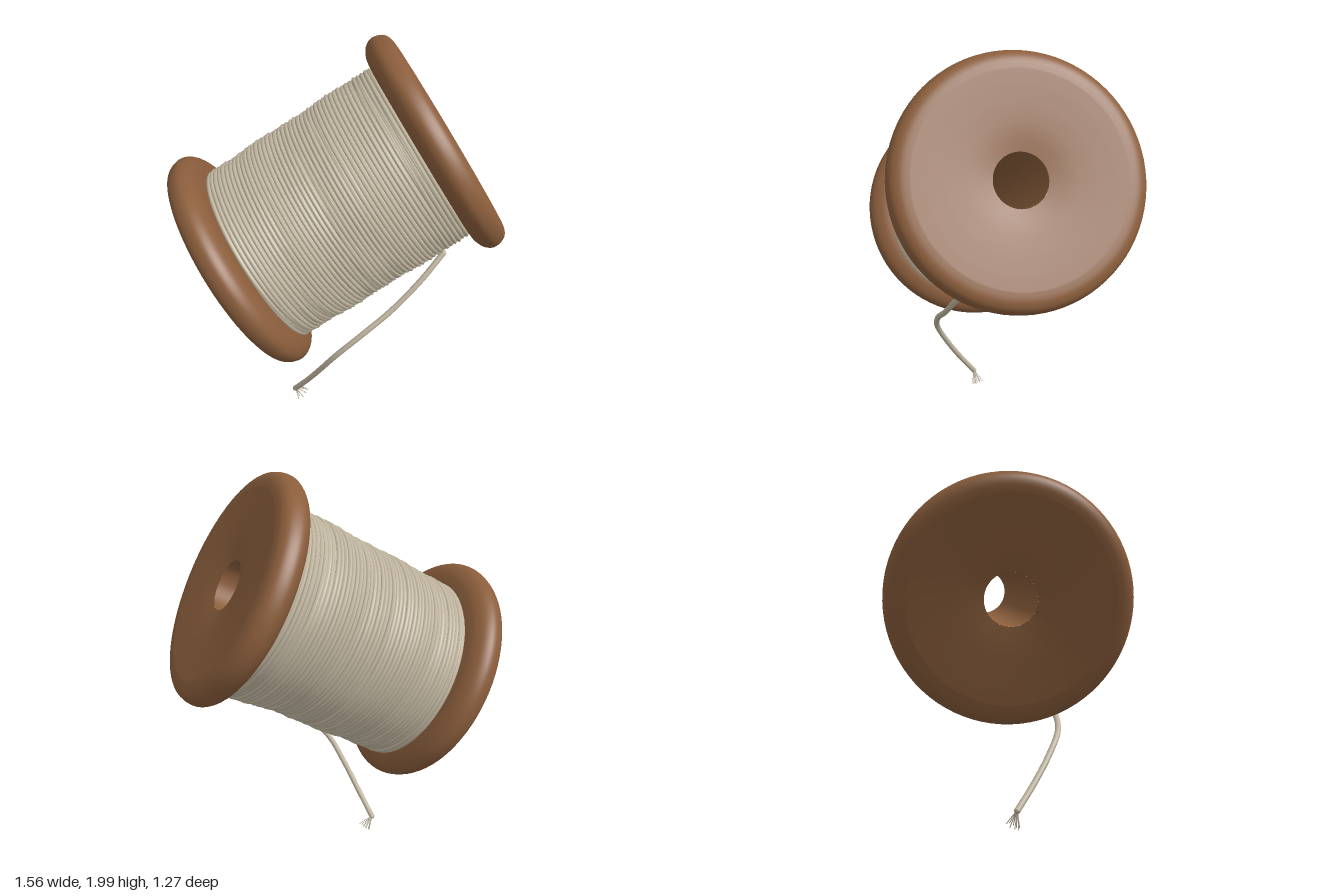
import * as THREE from 'three';

const wood = new THREE.MeshStandardMaterial({ color: 0x8b5e3c });
wood.name = 'brown wood';
const thread = new THREE.MeshStandardMaterial({ color: 0xc4b9a3 });
thread.name = 'beige thread';

const v2 = (r, y) => new THREE.Vector2(r, y);

function addMesh(parent, name, geometry, material) {
  const mesh = new THREE.Mesh(geometry, material);
  mesh.name = name;
  parent.add(mesh);
  return mesh;
}

// Thread wound round the local y axis; angle 0 points to the sagging underside
class Winding extends THREE.Curve {
  constructor(turns, from, to, radius, phase) {
    super();
    Object.assign(this, { turns, from, to, radius, phase });
  }
  getUtoTmapping(u) { return u; }
  getPoint(t, target = new THREE.Vector3()) {
    const a = t * this.turns * Math.PI * 2;
    const y = THREE.MathUtils.lerp(this.from, this.to, t);
    const along = (y + 0.46) / 0.92;
    const under = Math.max(0, Math.cos(a));
    const looseEnd = Math.exp(-(((y - 0.36) / 0.09) ** 2)) * 0.025 * under ** 12;
    const r = this.radius + 0.024 * (1 - along) * Math.cos(a) + looseEnd
      + 0.005 * Math.sin(along * 15 + this.phase + 0.6 * Math.sin(a * 2))
      + 0.002 * Math.sin(a * 1.37 + this.phase);
    const drift = 0.005 * Math.sin(a + this.phase);
    return target.set(Math.cos(a) * r, y + drift, Math.sin(a) * r);
  }
}

function makeSpool() {
  const spool = new THREE.Group();
  spool.name = 'spool';

  // Upper flange from barrel to hole: tapered inner side, rounded rim, dished face
  const rim = new THREE.SplineCurve([
    v2(0.44, 0.452), v2(0.49, 0.459), v2(0.533, 0.481), v2(0.556, 0.515),
    v2(0.555, 0.55), v2(0.538, 0.584), v2(0.505, 0.602), v2(0.46, 0.606),
  ]).getPoints(28);
  const face = [v2(0.4, 0.602), v2(0.32, 0.597), v2(0.24, 0.591), v2(0.18, 0.584), v2(0.12, 0.574)];
  const top = [v2(0.4, 0.45), ...rim, ...face];
  const bottom = top.map((p) => v2(p.x, -p.y)).reverse();
  addMesh(spool, 'upperFlange', new THREE.LatheGeometry(top, 80), wood);
  addMesh(spool, 'lowerFlange', new THREE.LatheGeometry(bottom, 80), wood);
  addMesh(spool, 'barrel', new THREE.CylinderGeometry(0.4, 0.4, 0.92, 64, 1, true), wood);
  addMesh(spool, 'centreHole', new THREE.LatheGeometry([v2(0.12, 0.574), v2(0.12, -0.574)], 48), wood);

  // Solid bed below two crossing layers of wound thread
  addMesh(spool, 'threadBed', new THREE.CylinderGeometry(0.423, 0.423, 0.92, 64, 1, true), thread);
  const layers = [
    ['innerWinding', new Winding(44, -0.455, 0.455, 0.438, 0)],
    ['outerWinding', new Winding(44, 0.45, -0.45, 0.442, 2.6)],
  ];
  for (const [name, path] of layers) {
    addMesh(spool, name, new THREE.TubeGeometry(path, 44 * 60, 0.0105, 6), thread);
  }

  // Tilt the axis up to the left and slightly forward
  const axis = new THREE.Vector3(0.856, 0.493, 0.154).normalize();
  const down = new THREE.Vector3(0, -1, 0);
  down.addScaledVector(axis, -down.dot(axis)).normalize();
  const side = new THREE.Vector3().crossVectors(down, axis);
  spool.quaternion.setFromRotationMatrix(new THREE.Matrix4().makeBasis(down, axis, side));
  spool.position.set(-0.003, 1.24, -0.002);
  return spool;
}

function makeTail() {
  const tail = new THREE.Group();
  tail.name = 'looseTail';
  const points = [
    [0.42, 1.02, 0.3], [0.3, 0.9, 0.315], [0.15, 0.76, 0.315], [0, 0.64, 0.302],
    [-0.12, 0.51, 0.262], [-0.18, 0.36, 0.185], [-0.22, 0.22, 0.1], [-0.255, 0.09, 0.012],
  ].map((p) => new THREE.Vector3(...p));
  const path = new THREE.CatmullRomCurve3(points);
  addMesh(tail, 'tailThread', new THREE.TubeGeometry(path, 70, 0.014, 10), thread);
  const end = points[points.length - 1];

  // Rounded ends
  for (const p of [points[0], end]) {
    addMesh(tail, 'tailEnd', new THREE.SphereGeometry(0.014, 10, 8), thread).position.copy(p);
  }

  // Frayed fibres fanning out from the cut end
  const count = 11;
  for (let i = 0; i < count; i++) {
    const a = i * 2.4;
    const spread = 0.035 * Math.sqrt((i + 0.5) / count);
    const tip = end.clone().add(new THREE.Vector3(
      0.045 + Math.cos(a) * spread,
      -0.056 + Math.cos(a) * spread * 0.85,
      Math.sin(a) * spread * 0.9,
    ));
    const mid = end.clone().lerp(tip, 0.5).add(new THREE.Vector3(0, 0.006, 0));
    const fibre = new THREE.QuadraticBezierCurve3(end, mid, tip);
    addMesh(tail, 'frayedFibre', new THREE.TubeGeometry(fibre, 6, 0.002, 5), thread);
  }
  return tail;
}

export function createModel() {
  const model = new THREE.Group();
  model.name = 'threadSpool';
  model.add(makeSpool(), makeTail());
  return model;
}
